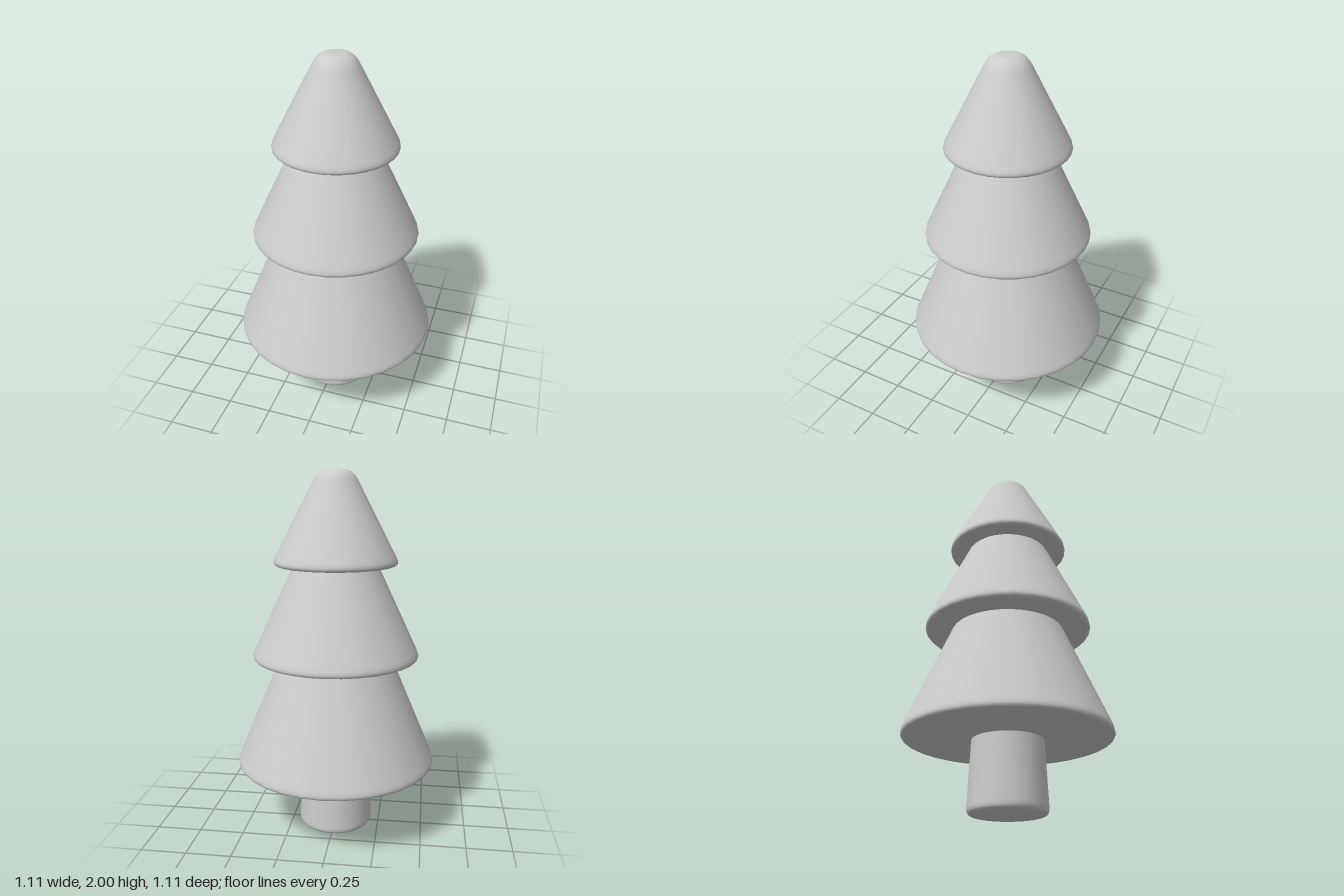
import * as THREE from 'three';

const SIDES = 32;

export function createModel() {
  const tree = new THREE.Group();
  tree.name = 'tree';
  const grey = new THREE.MeshStandardMaterial({ color: 0xcccccc });
  grey.name = 'light grey';

  // Closed, smooth solid of revolution: straight sides with rounded rims.
  // rim: how far the rounding reaches along the base and up the side.
  function roundedCone(name, y0, r0, y1, r1, rim, rise, topRim, topDrop) {
    const radiusAt = (y) => r0 + ((r1 - r0) * (y - y0)) / (y1 - y0);
    const path = new THREE.Path();
    path.moveTo(0, y0);
    path.lineTo(r0 - rim - 0.01, y0); // keeps the underside flat
    path.lineTo(r0 - rim, y0);
    path.quadraticCurveTo(r0, y0, radiusAt(y0 + rise), y0 + rise);
    path.lineTo(radiusAt(y0 + rise + 0.01), y0 + rise + 0.01);
    path.lineTo(radiusAt(y1 - topDrop - 0.01), y1 - topDrop - 0.01);
    path.lineTo(radiusAt(y1 - topDrop), y1 - topDrop);
    path.quadraticCurveTo(r1, y1, r1 - topRim, y1);
    path.lineTo(0, y1);
    const mesh = new THREE.Mesh(new THREE.LatheGeometry(path.getPoints(6), SIDES), grey);
    mesh.name = name;
    tree.add(mesh);
  }

  // Trunk, running up inside the lowest tier
  roundedCone('trunk', 0, 0.209, 0.45, 0.187, 0.03, 0.035, 0.02, 0.02);

  // Three tiers of foliage; each top is tucked inside the tier above
  roundedCone('lowerFoliage', 0.38, 0.569, 1.06, 0.28, 0.039, 0.045, 0.03, 0.03);
  roundedCone('middleFoliage', 0.99, 0.471, 1.57, 0.197, 0.041, 0.045, 0.03, 0.03);
  roundedCone('upperFoliage', 1.5, 0.35, 2.0, 0.089, 0.045, 0.045, 0.05, 0.055);

  return tree;
}
